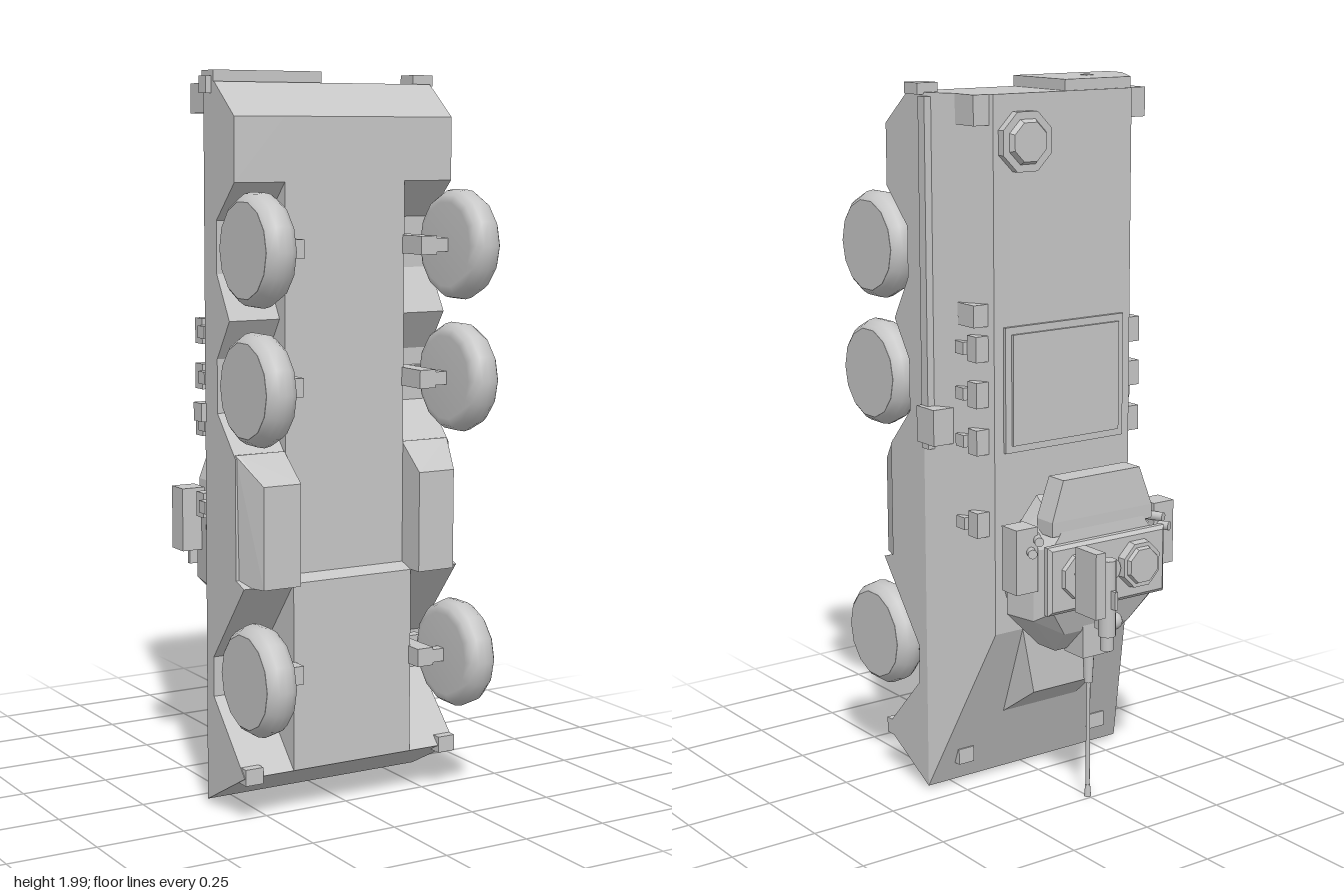
import * as THREE from 'three';
import { ConvexGeometry } from 'three/addons/geometries/ConvexGeometry.js';

// Armoured six-wheeler standing on its nose: nose at y = 0, roof towards -z, belly towards +z.
export function createModel() {
  const model = new THREE.Group();
  const grey = new THREE.MeshStandardMaterial({ color: 0xc6c6c6 });
  grey.name = 'grey paint';

  const add = (name, geometry) => {
    const mesh = new THREE.Mesh(geometry, grey);
    mesh.name = name;
    model.add(mesh);
    return mesh;
  };
  // Box from its limits on each axis
  const box = (name, x0, x1, y0, y1, z0, z1) => add(name,
    new THREE.BoxGeometry(x1 - x0, y1 - y0, z1 - z0)
      .translate((x0 + x1) / 2, (y0 + y1) / 2, (z0 + z1) / 2));
  const boxPair = (name, x0, x1, ...rest) => {
    box(name, x0, x1, ...rest);
    box(name, -x1, -x0, ...rest);
  };
  // Convex solid; "both" mirrors its corner points across x = 0
  const solid = (name, pts, both = true) => {
    const all = pts.map(p => new THREE.Vector3(...p));
    if (both) pts.forEach(([x, y, z]) => all.push(new THREE.Vector3(-x, y, z)));
    return add(name, new ConvexGeometry(all));
  };
  // Side profile of [z, y] points extruded across x
  const slab = (name, pts, x0, x1) => add(name,
    new THREE.ExtrudeGeometry(new THREE.Shape(pts.map(p => new THREE.Vector2(...p))),
      { depth: x1 - x0, bevelEnabled: false }).rotateY(-Math.PI / 2).translate(x1, 0, 0));
  // Cylinder along z (roof fittings): r0 at z0 (outer end), r1 at z1
  const disc = (name, x, y, z0, z1, r0, r1, sides) => {
    const g = new THREE.CylinderGeometry(r1, r0, z1 - z0, sides).rotateX(Math.PI / 2);
    if (sides <= 8) g.rotateZ(Math.PI / sides);
    const flat = sides <= 8 ? g.toNonIndexed() : g;
    if (sides <= 8) flat.computeVertexNormals();
    return add(name, flat.translate(x, y, (z0 + z1) / 2));
  };
  // Cylinder along y
  const tube = (name, x, z, y0, y1, r0, r1 = r0, sides = 12) => add(name,
    new THREE.CylinderGeometry(r1, r0, y1 - y0, sides).translate(x, (y0 + y1) / 2, z));

  // Hull
  solid('upperHull', [[.335, .01, .07], [.335, 1.96, .07], [.23, .49, -.115], [.23, 1.96, -.115]]);
  slab('lowerHull', [[.07, .01], [.285, .125], [.285, .64], [.24, .655], [.24, 1.87], [.13, 1.96], [.07, 1.96]], -.185, .185);
  const sponson = [[.07, .01], [.285, .125], [.11, .31], [.11, .42], [.285, .64], [.24, .655], [.24, .98],
    [.14, 1.09], [.14, 1.235], [.21, 1.34], [.14, 1.46], [.14, 1.6], [.24, 1.7], [.24, 1.87], [.13, 1.96], [.07, 1.96]];
  slab('leftSponson', sponson, .185, .335);
  slab('rightSponson', sponson, -.335, -.185);
  for (const s of [1, -1]) {
    solid('sideTank', [[.185, .64, .2], [.333, .64, .2], [.185, .99, .235], [.333, .99, .235],
      [.185, .64, .325], [.297, .64, .325], [.185, .915, .325], [.297, .915, .325], [.325, .64, .24], [.325, .99, .24]]
      .map(([x, y, z]) => [x * s, y, z]), false);
  }
  solid('driverHump', [[.135, .2, .01], [.1, .295, -.115], [.14, .5, -.115], [.16, .5, -.05]]);

  // Wheels and axles
  const tyre = [[0, -.045], [.115, -.045], [.135, -.038], [.147, -.02], [.151, 0], [.147, .02], [.135, .038], [.125, .045]]
    .map(p => new THREE.Vector2(...p));
  for (const y of [.4, 1.17, 1.53]) {
    for (const s of [1, -1]) {
      add('tyre', new THREE.LatheGeometry(tyre, 14).rotateZ(-Math.PI / 2 * s).translate(.31 * s, y, .32));
      add('wheelFace', new THREE.CylinderGeometry(.126, .126, .004, 14)
        .rotateZ(Math.PI / 2).translate(.353 * s, y, .32));
    }
    boxPair('axle', .2, .28, y - .018, y + .018, .3, .332);
    boxPair('suspensionArm', .18, .23, y - .025, y + .025, .13, .332);
    boxPair('damper', .23, .3, y - .018, y + .018, .13, .165);
  }

  // Rear door and corner fittings
  const door = new THREE.Shape([[-.23, -.11], [-.008, -.11], [-.008, .125], [-.335, .125], [-.335, .06]]
    .map(([x, z]) => new THREE.Vector2(x, -z)));
  add('rearDoor', new THREE.ExtrudeGeometry(door, { depth: .035, bevelEnabled: false })
    .rotateX(-Math.PI / 2).translate(0, 1.955, 0));
  box('doorHandle', -.182, -.157, 1.985, 1.993, -.008, .018);
  box('rearLamp', .285, .35, 1.955, 1.985, .06, .122);
  box('rearLamp', -.352, -.325, 1.93, 1.975, .075, .115);
  boxPair('rearBox', .22, .285, 1.88, 1.96, -.105, -.02);

  // Side fittings
  box('sideRail', .31, .34, 1, 1.95, .042, .073);
  box('sideLocker', .29, .355, 1.02, 1.12, -.008, .075);
  box('mirrorBox', -.35, -.31, 1.06, 1.11, .03, .075);
  box('sideBox', .22, .285, 1.35, 1.41, -.1, -.025);
  for (const y of [1.29, 1.165, 1.035, .805]) {
    boxPair('visionBlock', .22, .278, y - .035, y + .035, -.1, -.058);
    boxPair('visionMount', .25, .292, y - .017, y + .017, -.058, -.02);
  }
  boxPair('headlamp', .21, .26, .07, .115, .025, .052);
  boxPair('towLug', .28, .333, .105, .15, .235, .288);

  // Roof hatches
  box('roofHatch', -.2, .2, 1, 1.345, -.125, -.11);
  box('hatchPanel', -.18, .18, 1.02, 1.325, -.133, -.12);
  disc('rearHatchBase', .135, 1.835, -.138, -.11, .085, .085, 8);
  disc('rearHatchLid', .135, 1.835, -.152, -.136, .055, .065, 8);

  // Turret
  disc('turretRing', 0, .66, -.165, -.11, .205, .205, 28);
  solid('turretBody', [
    [.11, .45, -.15], [.22, .56, -.155], [.22, .76, -.155], [.12, .88, -.155],
    [.09, .44, -.2], [.2, .56, -.25], [.2, .76, -.25], [.14, .86, -.22],
    [.11, .51, -.27], [.17, .59, -.298], [.17, .77, -.298], [.14, .81, -.295]]);
  solid('turretRoof', [[.2, .59, -.298], [.2, .78, -.298], [.2, .59, -.313], [.2, .78, -.313],
    [.19, .6, -.322], [.19, .77, -.322]]);
  solid('turretBustle', [[.17, .8, -.225], [.17, .8, -.295], [.13, .95, -.225], [.13, .95, -.29], [.17, .84, -.225], [.17, .84, -.295]]);
  boxPair('turretSideBox', .2, .27, .65, .83, -.27, -.203);
  // Smoke tubes splayed outwards on the turret shoulders
  for (const s of [1, -1]) {
    for (const k of [0, 1]) {
      const smoke = add('smokeTube', new THREE.CylinderGeometry(.013, .013, .07, 10));
      smoke.position.set((.198 + k * .022) * s, .795 - k * .03, -.264);
      smoke.rotation.set(Math.PI / 2, 0, 0);
      smoke.rotation.order = 'ZYX';
      smoke.rotation.y = -.45 * s;
    }
  }

  // Main gun
  box('gunMantlet', -.05, .05, .43, .54, -.275, -.19);
  tube('gunSleeve', 0, -.235, .34, .46, .012, .018);
  tube('gunBarrel', 0, -.235, .01, .36, .006);
  tube('gunMuzzle', 0, -.235, 0, .035, .01, .007);

  // Turret roof hatches
  disc('commanderCupola', -.098, .69, -.345, -.318, .066, .07, 8);
  disc('commanderLid', -.098, .69, -.356, -.344, .05, .055, 8);
  disc('roofSight', 0, .69, -.336, -.318, .032, .032, 12);
  disc('gunnerHatch', .098, .69, -.334, -.318, .062, .067, 8);

  // Roof weapon mount
  disc('mountFoot', .103, .7, -.365, -.33, .022, .022, 12);
  box('mountPost', .08, .124, .665, .735, -.402, -.36);
  box('mountCradle', .085, .12, .63, .73, -.425, -.395);
  tube('weaponBody', .093, -.435, .55, .76, .024);
  tube('weaponBarrel', .093, -.435, .51, .56, .018);
  box('ammoBox', .12, .152, .61, .79, -.462, -.372);
  box('weaponSight', .088, .098, .63, .68, -.475, -.455);
  box('sensorArm', .045, .1, .56, .59, -.405, -.393);
  box('sensorStrut', .085, .1, .56, .68, -.41, -.39);
  add('sensorBall', new THREE.SphereGeometry(.025, 14, 10).translate(.04, .57, -.395));

  return model;
}
